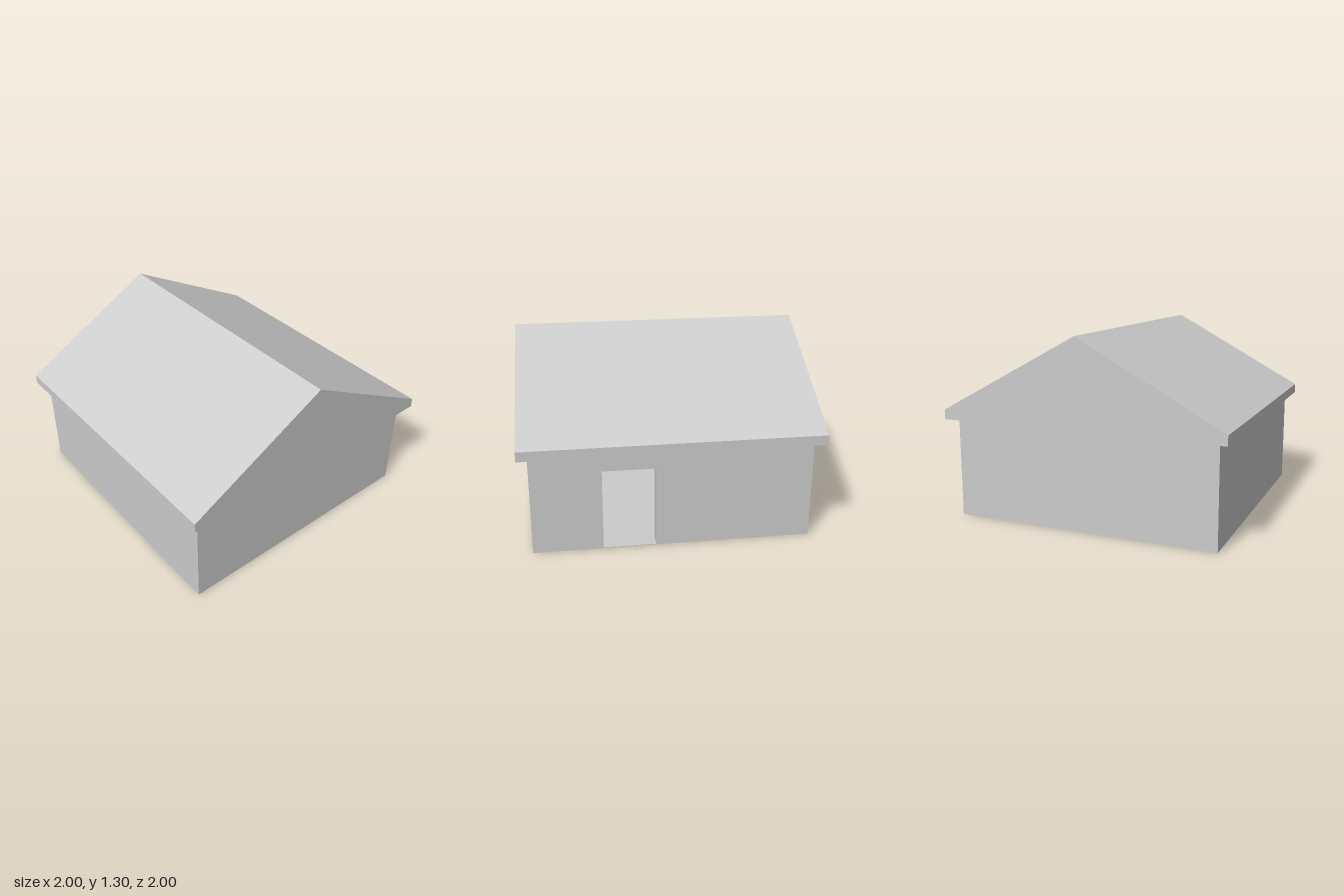
import * as THREE from 'three';

const W = 0.933;              // outer half size of the walls
const T = 0.093;              // wall thickness
const I = W - T;              // inner half size
const FLOOR = 0.005;
const WALL_TOP = 0.695, EAVE_TOP = 0.762, RIDGE = 1.302;
const DOOR = { front: 0.468, back: 0.116, top: 0.565 };

const material = new THREE.MeshStandardMaterial({ color: 0xcccccc, flatShading: true });

function part(name, geometry, x = 0, y = 0, z = 0) {
  const mesh = new THREE.Mesh(geometry, material);
  mesh.name = name;
  mesh.position.set(x, y, z);
  return mesh;
}

function extrude(points, depth) {
  const shape = new THREE.Shape(points.map(([x, y]) => new THREE.Vector2(x, y)));
  return new THREE.ExtrudeGeometry(shape, { depth, bevelEnabled: false });
}

export function createModel() {
  const house = new THREE.Group();
  house.name = 'house';

  // Thin floor slab, also forming the door sill
  house.add(part('floor', new THREE.BoxGeometry(2 * W, FLOOR, 2 * W), 0, FLOOR / 2, 0));

  // Walls: a footprint ring (x, z) with a gap for the doorway, raised to the eaves
  const footprint = [
    [W, DOOR.front], [W, W], [-W, W], [-W, -W], [W, -W], [W, DOOR.back],
    [I, DOOR.back], [I, -I], [-I, -I], [-I, I], [I, I], [I, DOOR.front],
  ].map(([x, z]) => [x, -z]);
  const walls = extrude(footprint, WALL_TOP - FLOOR).rotateX(-Math.PI / 2);
  house.add(part('walls', walls, 0, FLOOR, 0));

  // Wall section above the doorway
  const lintelHeight = WALL_TOP - DOOR.top;
  house.add(part('doorLintel',
    new THREE.BoxGeometry(T, lintelHeight, DOOR.front - DOOR.back),
    W - T / 2, DOOR.top + lintelHeight / 2, (DOOR.front + DOOR.back) / 2));

  // Solid gable roof with a flat underside and overhanging eaves
  const gable = [[-1, WALL_TOP], [1, WALL_TOP], [1, EAVE_TOP], [0, RIDGE], [-1, EAVE_TOP]];
  house.add(part('roof', extrude(gable, 2), 0, 0, -1));

  return house;
}
